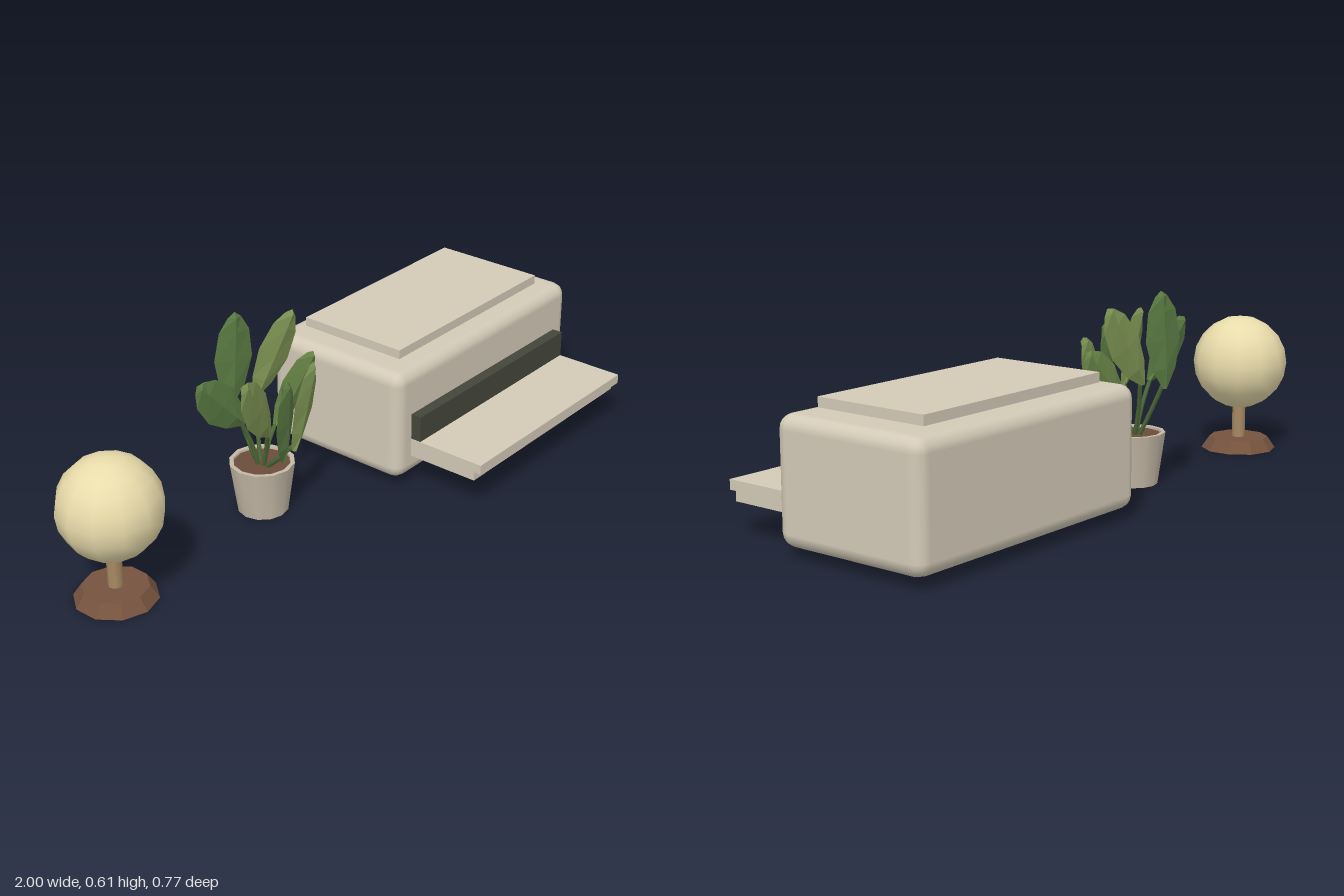
import * as THREE from 'three';
import { toCreasedNormals } from 'three/addons/utils/BufferGeometryUtils.js';
import { RoundedBoxGeometry } from 'three/addons/geometries/RoundedBoxGeometry.js';

const mat = (color, flatShading = false) => new THREE.MeshStandardMaterial({ color, flatShading });
const beige = mat(0xd3cab7), dark = mat(0x45463a), wood = mat(0x76533f), tan = mat(0xa88a63);
const cream = mat(0xe9dcab), clay = mat(0xc4b8a6), soilBrown = mat(0x6b4c3a), stemGreen = mat(0x4f6b3a);
const greens = [0x5a7a42, 0x7d9453, 0x6a8748].map(c => mat(c, true));

function add(parent, name, geometry, material, x = 0, y = 0, z = 0) {
  const mesh = new THREE.Mesh(geometry, material);
  mesh.name = name;
  mesh.position.set(x, y, z);
  parent.add(mesh);
  return mesh;
}

// Box given by its limits on each axis
function block(parent, name, material, [x0, x1], [y0, y1], [z0, z1], radius = 0) {
  const s = [x1 - x0, y1 - y0, z1 - z0];
  const geo = radius ? new RoundedBoxGeometry(...s, 2, radius) : new THREE.BoxGeometry(...s);
  return add(parent, name, geo, material, (x0 + x1) / 2, (y0 + y1) / 2, (z0 + z1) / 2);
}

// Leaf blade: diamond cross-sections swept from base to tip, broad along the given side direction
function leafGeometry(base, tip, side) {
  const axis = tip.clone().sub(base);
  const dir = axis.clone().normalize();
  const normal = new THREE.Vector3().crossVectors(side, dir).normalize();
  const across = new THREE.Vector3().crossVectors(dir, normal);
  const sections = [[0, 0.008], [0.2, 0.042], [0.5, 0.063], [0.8, 0.05], [0.95, 0.022], [1, 0.002]];
  const pos = [], index = [];
  for (const [t, w] of sections) {
    const c = base.clone().addScaledVector(axis, t);
    const h = Math.min(w, 0.012 + w * 0.03);
    for (const [a, b] of [[w, 0], [0, h], [-w, 0], [0, -h]]) {
      pos.push(...c.clone().addScaledVector(across, a).addScaledVector(normal, b).toArray());
    }
  }
  for (let i = 0; i < sections.length - 1; i++) {
    for (let k = 0; k < 4; k++) {
      const a = i * 4 + k, b = i * 4 + (k + 1) % 4;
      index.push(a, a + 4, b, b, a + 4, b + 4);
    }
  }
  const e = (sections.length - 1) * 4;
  index.push(0, 1, 2, 0, 2, 3, e, e + 2, e + 1, e, e + 3, e + 2);
  const geo = new THREE.BufferGeometry();
  geo.setAttribute('position', new THREE.Float32BufferAttribute(pos, 3));
  geo.setIndex(index);
  geo.computeVertexNormals();
  return geo;
}

function createPrinter() {
  const g = new THREE.Group();
  g.name = 'printer';
  block(g, 'body', beige, [0.09, 1], [0.03, 0.39], [-0.383, 0.125], 0.042);
  block(g, 'lid', beige, [0.18, 0.905], [0.398, 0.427], [-0.315, 0.055]);
  block(g, 'paperSlot', dark, [0.155, 0.925], [0.16, 0.244], [0.06, 0.16]);
  block(g, 'upperTray', beige, [0.155, 0.925], [0.129, 0.159], [0.06, 0.385]);
  block(g, 'lowerTray', beige, [0.155, 0.925], [0.1, 0.129], [0.06, 0.362]);
  return g;
}

function createLamp() {
  const g = new THREE.Group();
  g.name = 'globeLamp';
  g.position.set(-0.847, 0, -0.132);
  add(g, 'lampBase', toCreasedNormals(new THREE.CylinderGeometry(0.096, 0.122, 0.038, 10), 0.4), wood, 0, 0.019, 0);
  add(g, 'lampStem', new THREE.CylinderGeometry(0.022, 0.022, 0.13, 8), tan, 0, 0.095, 0);
  add(g, 'globe', new THREE.SphereGeometry(0.153, 12, 10), cream, 0, 0.291, 0);
  return g;
}

function createPlant() {
  const g = new THREE.Group();
  g.name = 'pottedPlant';
  const cx = -0.235, cz = -0.135;

  // Hollow tapered pot with soil just below the rim
  const profile = [[0, 0], [0.077, 0], [0.1, 0.162], [0.087, 0.162], [0.084, 0.14]];
  const pot = new THREE.LatheGeometry(profile.map(p => new THREE.Vector2(...p)), 12);
  add(g, 'pot', toCreasedNormals(pot, 0.7), clay, cx, 0, cz);
  add(g, 'soil', new THREE.CylinderGeometry(0.086, 0.083, 0.02, 12), soilBrown, cx, 0.145, cz);

  // Each leaf: base, tip, slope of its broad side in z, shade
  const leaves = [
    [[-0.23, 0.31, -0.255], [-0.213, 0.605, -0.248], 0.35, 0],
    [[-0.18, 0.325, -0.21], [-0.03, 0.567, -0.186], 0.16, 1],
    [[-0.30, 0.31, -0.145], [-0.465, 0.49, -0.163], 0.1, 0],
    [[-0.165, 0.25, -0.145], [0, 0.435, -0.132], 0.06, 2],
    [[-0.27, 0.285, -0.07], [-0.412, 0.513, -0.035], -0.22, 1],
    [[-0.21, 0.22, -0.03], [-0.095, 0.46, -0.05], -0.25, 1],
    [[-0.265, 0.21, -0.022], [-0.268, 0.478, -0.002], -0.33, 0],
  ];
  for (const [b, t, slope, shade] of leaves) {
    const base = new THREE.Vector3(...b), tip = new THREE.Vector3(...t);
    add(g, 'leaf', leafGeometry(base, tip, new THREE.Vector3(1, 0, slope)), greens[shade]);
    const root = new THREE.Vector3(cx + (b[0] - cx) * 0.2, 0.15, cz + (b[2] - cz) * 0.2);
    const bend = root.clone().lerp(base, 0.5).add(new THREE.Vector3(0, 0.01, 0));
    const end = base.clone().lerp(tip, 0.08);
    const curve = new THREE.CatmullRomCurve3([root, bend, end]);
    add(g, 'leafStem', new THREE.TubeGeometry(curve, 4, 0.007, 5), stemGreen);
  }
  return g;
}

export function createModel() {
  const model = new THREE.Group();
  model.name = 'deskSet';
  model.add(createPrinter(), createLamp(), createPlant());
  return model;
}
